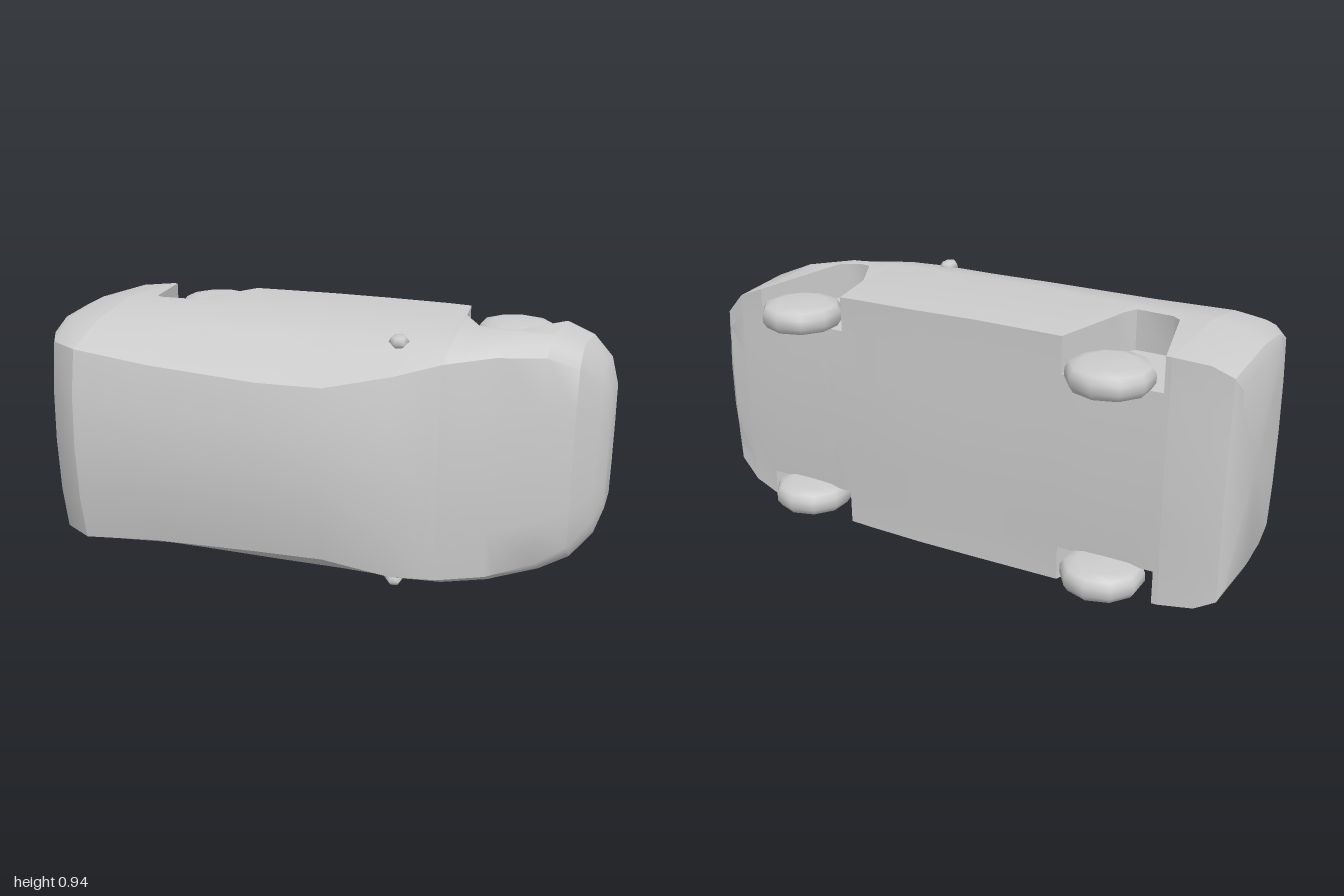
import * as THREE from 'three';
import { toCreasedNormals } from 'three/addons/utils/BufferGeometryUtils.js';

// A low-poly car lying on its side: length along x, width along y, its roof towards +z.
const MID = 0.472;

// x, top z, roof half width, roof edge z, belt half width, belt z, side half width, side z, underside z
const STATIONS = [
  [-1.0, 0.2, 0.31, 0.18, 0.35, 0.12, 0.37, 0.0, -0.24],
  [-0.98, 0.29, 0.36, 0.26, 0.4, 0.18, 0.415, 0.02, -0.27],
  [-0.91, 0.41, 0.36, 0.375, 0.42, 0.24, 0.45, 0.03, -0.29],
  [-0.79, 0.48, 0.36, 0.44, 0.425, 0.27, 0.462, 0.04, -0.31],
  [-0.5, 0.475, 0.33, 0.435, 0.425, 0.25, 0.468, 0.04, -0.32],
  [-0.1, 0.465, 0.31, 0.43, 0.43, 0.23, 0.472, 0.04, -0.33],
  [0.13, 0.447, 0.31, 0.41, 0.43, 0.22, 0.47, 0.04, -0.34],
  [0.36, 0.395, 0.36, 0.36, 0.43, 0.22, 0.468, 0.04, -0.342],
  [0.5, 0.3, 0.39, 0.27, 0.43, 0.2, 0.464, 0.04, -0.342],
  [0.65, 0.2, 0.4, 0.165, 0.43, 0.12, 0.458, 0.03, -0.342],
  [0.8, 0.07, 0.38, 0.04, 0.415, 0.0, 0.44, -0.05, -0.342],
  [0.9, -0.01, 0.33, -0.03, 0.37, -0.06, 0.4, -0.11, -0.34],
  [0.97, -0.1, 0.25, -0.115, 0.29, -0.14, 0.325, -0.18, -0.335],
  [1.0, -0.15, 0.16, -0.16, 0.2, -0.175, 0.23, -0.2, -0.31],
];

// Wheel openings as x, z corners; they start and end on the underside
const ARCHES = [
  [[-0.77, -0.4], [-0.7, -0.02], [-0.67, 0], [-0.54, 0], [-0.51, -0.05], [-0.42, -0.4]],
  [[0.44, -0.4], [0.47, -0.16], [0.55, -0.01], [0.6, 0], [0.68, -0.03], [0.8, -0.4]],
];

function lerpRows(rows, x) {
  for (let i = 1; i < rows.length; i++) {
    if (x <= rows[i][0]) {
      const t = (x - rows[i - 1][0]) / (rows[i][0] - rows[i - 1][0]);
      return rows[i - 1].map((v, k) => v + (rows[i][k] - v) * t);
    }
  }
  return rows[rows.length - 1];
}

// Closed cross-section at x, from the roof centre round both sides
function section(x) {
  const [, zt, rh, rz, bh, bz, w, zw, zb] = lerpRows(STATIONS, x);
  let arch = zb;
  for (const a of ARCHES) {
    if (x > a[0][0] && x < a[a.length - 1][0]) arch = Math.max(arch, lerpRows(a, x)[1]);
  }
  const sill = w - 0.02;
  const inner = Math.min(0.32, w * 0.75);
  const half = [
    [rh * 0.55, zt - (zt - rz) * 0.25], [rh, rz], [bh, bz], [w, zw],
    [sill + 0.02 * (arch - zb) / (zw - zb), arch],
    [inner, arch], [inner, zb], [inner * 0.5, zb - 0.008],
  ];
  return [[0, zt], ...half, [0, zb - 0.008], ...half.map(([d, z]) => [-d, z]).reverse()]
    .map(([d, z]) => [x, MID + d, z]);
}

function loft(x0, x1, capBack, capFront) {
  const xs = [...STATIONS.map((s) => s[0]), ...ARCHES.flat().map((p) => p[0]), x0, x1]
    .filter((x) => x >= x0 && x <= x1);
  const rings = [...new Set(xs)].sort((a, b) => a - b).map(section);
  const pos = [];
  const tri = (...p) => p.forEach((v) => pos.push(...v));
  const n = rings[0].length;
  for (let i = 0; i < rings.length - 1; i++) {
    for (let j = 0; j < n; j++) {
      const k = (j + 1) % n, a = rings[i], b = rings[i + 1];
      tri(a[j], b[j], a[k]);
      tri(a[k], b[j], b[k]);
    }
  }
  const cap = (ring, front) => {
    const c = [ring[0][0], MID, (ring[0][2] + ring[n / 2][2]) / 2];
    ring.forEach((p, j) => {
      const q = ring[(j + 1) % n];
      if (front) tri(c, q, p);
      else tri(c, p, q);
    });
  };
  if (capBack) cap(rings[0], false);
  if (capFront) cap(rings[rings.length - 1], true);
  const g = new THREE.BufferGeometry();
  g.setAttribute('position', new THREE.Float32BufferAttribute(pos, 3));
  return toCreasedNormals(g, 0.6);
}

export function createModel() {
  const car = new THREE.Group();
  car.name = 'car';
  const mat = new THREE.MeshStandardMaterial({ color: 0xcccccc, side: THREE.DoubleSide });
  const add = (name, geo, x = 0, y = 0, z = 0) => {
    const m = new THREE.Mesh(geo, mat);
    m.name = name;
    m.position.set(x, y, z);
    car.add(m);
    return m;
  };

  // Body panels
  add('rearEnd', loft(-1, -0.79, true, false));
  add('cabin', loft(-0.79, 0.5, false, false));
  add('hood', loft(0.5, 0.9, false, false));
  add('frontBumper', loft(0.9, 1, false, true));

  // Wheels, slightly domed on both faces
  const profile = [[0, -0.05], [0.09, -0.048], [0.13, -0.038], [0.145, -0.015],
    [0.145, 0.015], [0.13, 0.038], [0.09, 0.048], [0, 0.05]];
  const wheel = new THREE.LatheGeometry(profile.map(([r, y]) => new THREE.Vector2(r, y)), 10);
  // Door mirrors
  const mirror = new THREE.SphereGeometry(1, 6, 4);
  mirror.scale(0.035, 0.022, 0.055);

  for (const s of [-1, 1]) {
    const side = s > 0 ? 'left' : 'right';
    add(side + 'RearWheel', wheel, -0.6, MID + s * 0.358, -0.34);
    add(side + 'FrontWheel', wheel, 0.615, MID + s * 0.358, -0.34);
    add(side + 'Mirror', mirror, 0.33, MID + s * 0.437, 0.205).rotation.y = 0.3;
  }
  return car;
}
